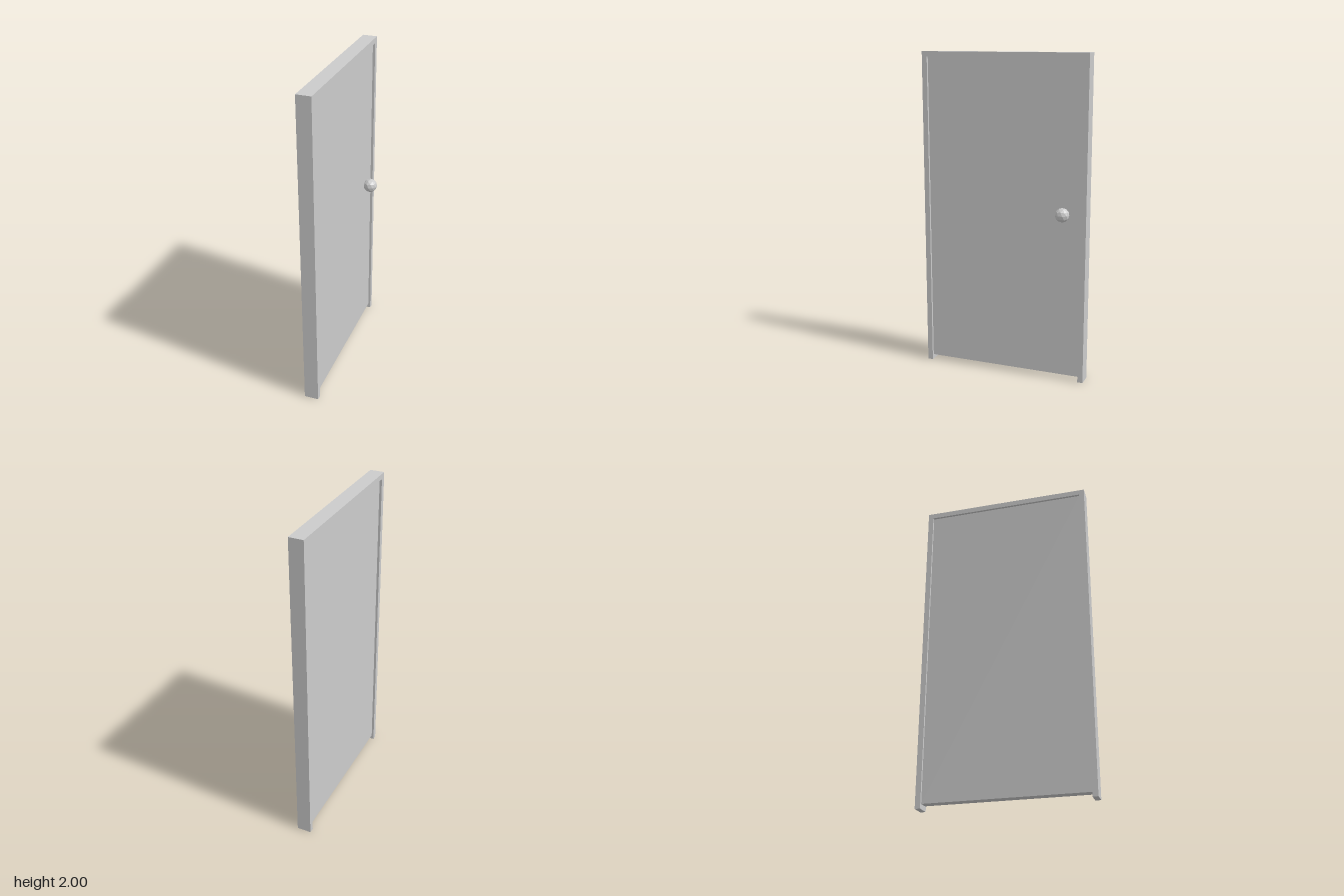
import * as THREE from 'three';

export function createModel() {
  const door = new THREE.Group();
  door.name = 'door';
  const material = new THREE.MeshStandardMaterial({ color: 0xcccccc, flatShading: true });

  const add = (name, geometry, x, y, z) => {
    const mesh = new THREE.Mesh(geometry, material);
    mesh.name = name;
    mesh.position.set(x, y, z);
    door.add(mesh);
    return mesh;
  };

  const halfWidth = 0.53, height = 2, trim = 0.033, frameDepth = 0.089;
  const frameBack = -0.077;
  const inner = halfWidth - trim;

  // Frame: an upside-down U, open at the floor, extruded along x
  const outline = new THREE.Shape([
    [-halfWidth, 0], [-inner, 0], [-inner, height - trim], [inner, height - trim],
    [inner, 0], [halfWidth, 0], [halfWidth, height], [-halfWidth, height],
  ].map(([a, b]) => new THREE.Vector2(a, b)));
  const frame = new THREE.ExtrudeGeometry(outline, { depth: frameDepth, bevelEnabled: false });
  frame.rotateY(Math.PI / 2);
  add('frame', frame, frameBack, 0, 0);

  // Slab: recessed on both faces, with a gap above the floor
  const gap = 0.03, slabDepth = 0.06;
  const slabHeight = height - trim - gap;
  add('slab', new THREE.BoxGeometry(slabDepth, slabHeight, inner * 2),
    frameBack + frameDepth / 2, gap + slabHeight / 2, 0);

  // Knob: faceted ball with one vertex pointing straight up
  const knob = new THREE.IcosahedronGeometry(0.044, 1);
  knob.rotateZ(Math.atan(2 / (1 + Math.sqrt(5))));
  add('knob', knob, 0.032, 1.055, -0.388);

  return door;
}
